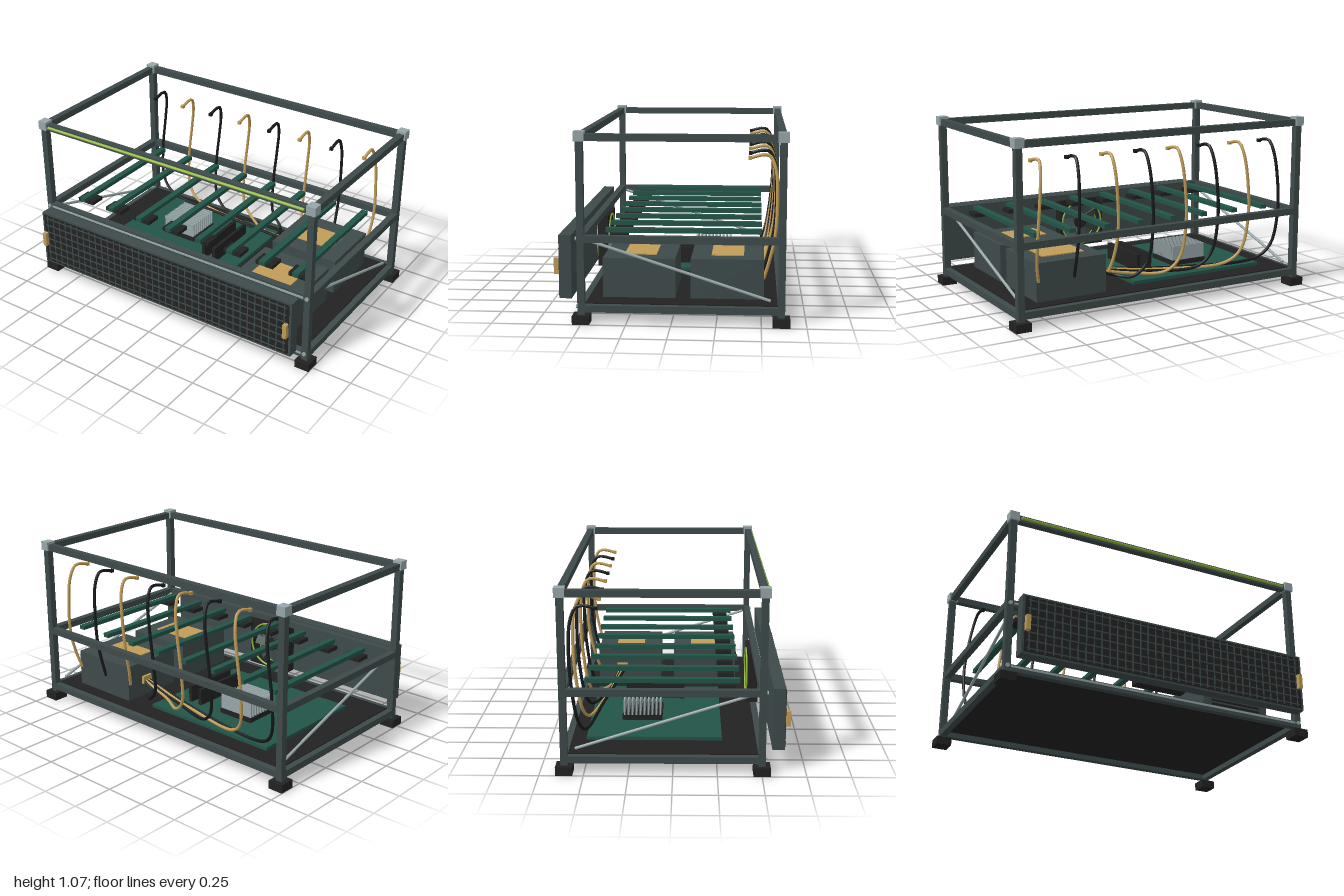
import * as THREE from 'three';

const mat = (name, color, side = THREE.FrontSide) => {
  const m = new THREE.MeshStandardMaterial({ color, side });
  m.name = name;
  return m;
};

export function createModel() {
  const root = new THREE.Group();
  root.name = 'openComputerFrame';
  const slate = mat('slate metal', 0x3e4a4a);
  const silver = mat('silver', 0x98a6a9);
  const black = mat('black', 0x222222);
  const cableBlack = mat('cable black', 0x171a1b);
  const green = mat('board green', 0x225448);
  const gold = mat('gold', 0xc09c58);
  const lime = mat('lime light', 0x8db43c);

  const box = (name, m, w, h, d, x, y, z, parent = root) => {
    const b = new THREE.Mesh(new THREE.BoxGeometry(w, h, d), m);
    b.name = name;
    b.position.set(x, y, z);
    parent.add(b);
    return b;
  };
  // round bar between two points
  const rod = (name, m, a, b, r) => {
    const p = new THREE.Vector3(...a), q = new THREE.Vector3(...b);
    const mesh = new THREE.Mesh(new THREE.CylinderGeometry(r, r, p.distanceTo(q), 10), m);
    mesh.name = name;
    mesh.position.copy(p).add(q).multiplyScalar(0.5);
    mesh.quaternion.setFromUnitVectors(new THREE.Vector3(0, 1, 0), q.sub(p).normalize());
    root.add(mesh);
  };

  // frame: posts, feet, corner blocks, rails
  const X = 0.953, ZF = 0.5, ZB = -0.61, ZC = (ZF + ZB) / 2, T = 0.04;
  for (const x of [-X, X]) {
    for (const z of [ZF, ZB]) {
      box('post', slate, T, 0.99, T, x, 0.535, z);
      box('foot', black, 0.094, 0.05, 0.096, x, 0.025, z);
      box('cornerBlock', silver, 0.058, 0.055, 0.06, x, 1.047, z);
    }
    for (const y of [0.085, 0.478, 1.04]) box('sideRail', slate, T, T, ZF - ZB - T, x, y, ZC);
    // diagonal brace inside each side
    rod('brace', silver, [Math.sign(x) * 0.924, 0.465, 0.47], [Math.sign(x) * 0.924, 0.135, -0.55], 0.009);
    // screws on the front posts
    for (const y of [0.095, 0.478]) rod('screw', silver, [x, y, 0.515], [x, y, 0.53], 0.012);
  }
  for (const z of [ZF, ZB])
    for (const y of [0.085, 0.478, 1.04]) box('longRail', slate, 2 * X - T, T, T, 0, y, z);
  for (const y of [0.093, 0.478]) box('railTrim', silver, 1.86, 0.012, 0.006, 0, y, 0.522);
  rod('lightStrip', lime, [-0.91, 1.042, 0.523], [0.91, 1.042, 0.523], 0.009);
  box('basePlate', black, 1.87, 0.014, 1.07, 0, 0.104, -0.055);

  // front panel with mesh and handles
  const panel = new THREE.Group();
  panel.name = 'frontPanel';
  root.add(panel);
  box('panelBody', slate, 1.84, 0.36, 0.07, 0, 0.31, 0.595, panel);
  box('panelFace', black, 1.81, 0.335, 0.004, 0, 0.31, 0.631, panel);
  for (let i = 0; i < 37; i++) box('meshUpright', slate, 0.007, 0.325, 0.005, (i - 18) * 0.0487, 0.31, 0.634, panel);
  for (let j = 0; j < 7; j++) box('meshBar', slate, 1.78, 0.007, 0.005, 0, 0.31 + (j - 3) * 0.049, 0.634, panel);
  for (const s of [-1, 1]) box('handle', gold, 0.026, 0.09, 0.03, s * 0.892, 0.31, 0.646, panel);

  // fan behind the panel
  const fan = new THREE.Group();
  fan.name = 'fan';
  fan.position.set(0, 0.305, 0.488);
  root.add(fan);
  const shape = new THREE.Shape([[-1, -1], [1, -1], [1, 1], [-1, 1]].map(([a, b]) => new THREE.Vector2(a * 0.16, b * 0.158)));
  const hole = new THREE.Path();
  hole.absarc(0, 0, 0.142, 0, Math.PI * 2, true);
  shape.holes.push(hole);
  const housing = new THREE.Mesh(new THREE.ExtrudeGeometry(shape, { depth: 0.064, bevelEnabled: false, curveSegments: 24 }), black);
  housing.name = 'fanHousing';
  housing.position.z = -0.032;
  fan.add(housing);
  for (const z of [-0.034, 0.036]) {
    const ring = new THREE.Mesh(new THREE.TorusGeometry(0.146, 0.006, 8, 36), lime);
    ring.name = 'fanRing';
    ring.position.z = z;
    fan.add(ring);
  }
  const hub = new THREE.Mesh(new THREE.CylinderGeometry(0.045, 0.045, 0.04, 20), black);
  hub.name = 'fanHub';
  hub.rotation.x = Math.PI / 2;
  fan.add(hub);
  for (let i = 0; i < 7; i++) {
    const arm = new THREE.Group();
    arm.name = 'fanBladeArm';
    arm.rotation.z = (i * Math.PI * 2) / 7;
    fan.add(arm);
    box('fanBlade', slate, 0.1, 0.055, 0.005, 0.085, 0, 0, arm).rotation.x = 0.5;
  }

  // main board, heat sink, memory
  box('mainBoard', green, 0.92, 0.02, 0.78, -0.3, 0.133, -0.11);
  box('heatSinkBase', black, 0.24, 0.03, 0.24, -0.36, 0.158, -0.19);
  for (let i = 0; i < 10; i++) box('heatSinkFin', silver, 0.235, 0.1, 0.009, -0.36, 0.215, -0.298 + i * 0.024);
  for (const x of [-0.07, 0.01]) box('memoryStick', black, 0.022, 0.105, 0.37, x, 0.193, -0.125);

  // power supplies with labels, vents and sockets
  for (const z of [-0.307, 0.193]) {
    box('powerSupply', slate, 0.45, 0.228, 0.413, 0.58, 0.226, z);
    box('powerLabel', gold, 0.27, 0.006, 0.185, 0.575, 0.343, z);
  }
  for (let i = 0; i < 7; i++) box('ventSlat', black, 0.34, 0.01, 0.008, 0.58, 0.145 + i * 0.025, 0.403);
  box('cableSocket', gold, 0.02, 0.05, 0.07, 0.347, 0.22, -0.36);

  // card bars, brackets and cables
  for (let i = 0; i < 8; i++) {
    const x = -0.797 + i * 0.227;
    box('cardBar', green, 0.04, 0.026, 0.88, x, 0.5, -0.06);
    box('cardBracket', black, 0.12, 0.024, 0.095, x, 0.476, 0.303);
    const lean = [-0.055, -0.053, -0.05, -0.045, -0.04, -0.03, 0, 0.03][i];
    const pts = [
      [x, 0.915, -0.43], [x, 0.932, -0.5], [x - 0.002, 0.925, -0.54], [x + lean * 0.25, 0.85, -0.573],
      [x + lean * 0.65, 0.7, -0.583], [x + lean, 0.48, -0.572],
    ];
    if (i < 5) pts.push(
      [x + lean * 0.5, 0.26, -0.54], [x + 0.06, 0.18, -0.51],
      [x + (0.35 - x) * 0.5, 0.17, -0.44 + i * 0.008], [0.35, 0.21, -0.34 - i * 0.01]);
    else pts.push([x + lean * 0.7, 0.33, -0.54], [x, 0.23, -0.512]);
    const curve = new THREE.CatmullRomCurve3(pts.map(p => new THREE.Vector3(...p)));
    const cable = new THREE.Mesh(new THREE.TubeGeometry(curve, 56, 0.0095, 8), i % 2 ? gold : cableBlack);
    cable.name = 'cable';
    root.add(cable);
    // plug at the free end
    box('cablePlug', i % 2 ? gold : cableBlack, 0.02, 0.02, 0.02, x, 0.915, -0.43);
  }
  return root;
}
